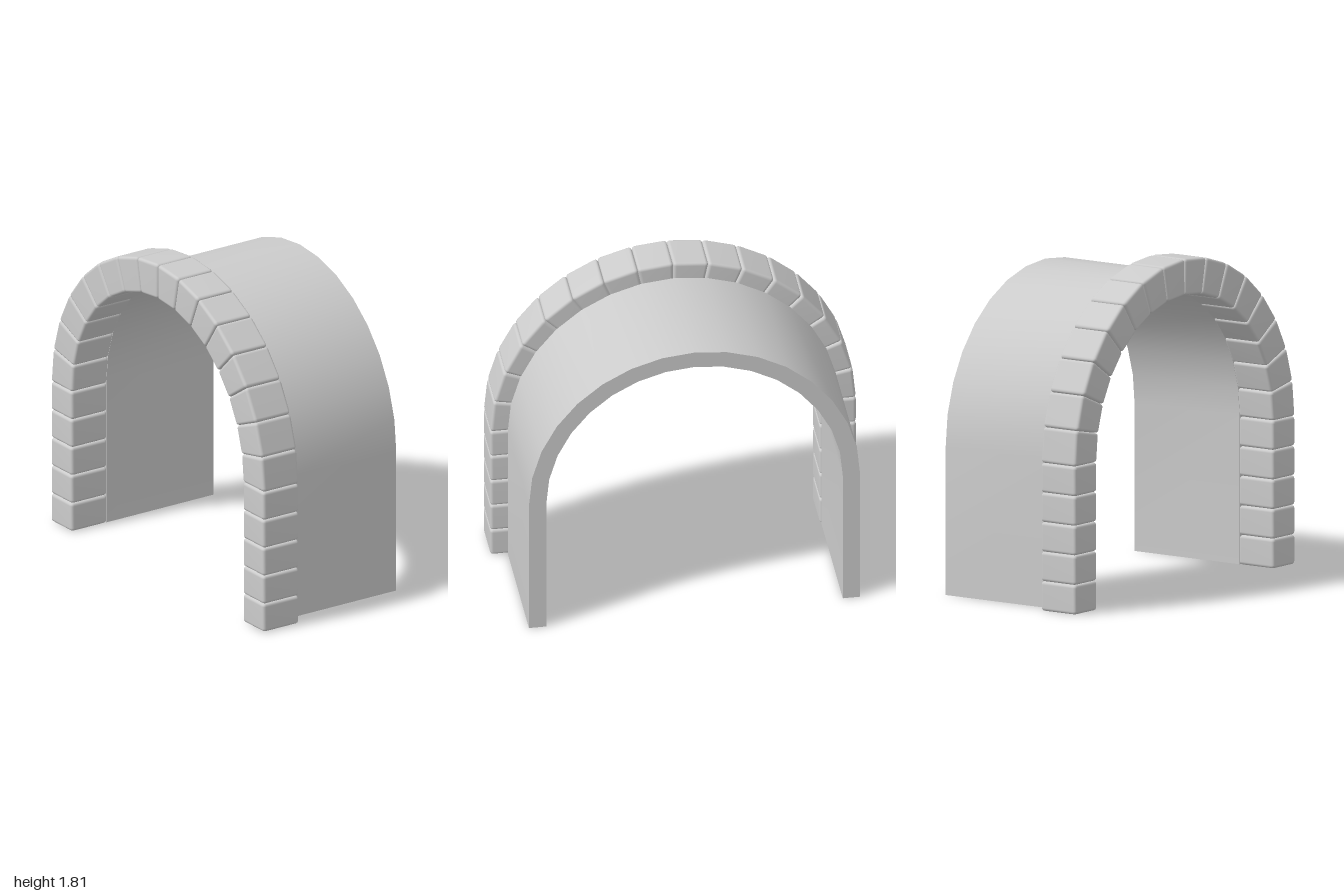
import * as THREE from 'three';
import { mergeVertices, toCreasedNormals } from 'three/addons/utils/BufferGeometryUtils.js';
import { RoundedBoxGeometry } from 'three/addons/geometries/RoundedBoxGeometry.js';

const SPRING = 0.81;            // height where the arch starts
const WEDGES = 16, JAMB = 5;    // stones in the arch and in each jamb
const INNER = 0.8, OUTER = 1;
const STEP = Math.PI / WEDGES;
const FRONT = 0.47, JOINT = 0.235, BACK = -0.47;

const material = new THREE.MeshStandardMaterial({ color: 0xcccccc });

// Rounded stone: x runs along the arch, y points outward; taper(y) scales its length
function stoneGeometry(length, height, taper) {
  const box = new RoundedBoxGeometry(length, height, FRONT - JOINT, 2, 0.018);
  const p = box.attributes.position;
  for (let i = 0; i < p.count; i++) p.setX(i, p.getX(i) * taper(p.getY(i)));
  box.deleteAttribute('normal');
  box.deleteAttribute('uv');
  const geometry = mergeVertices(box, 1e-5);
  geometry.computeVertexNormals();
  return geometry;
}

// Half-round vault on straight walls, extruded along z
function vaultGeometry(inner, outer) {
  const arc = (r) => {
    const pts = [new THREE.Vector2(r, 0)];
    for (let i = 0; i <= WEDGES; i++) {
      pts.push(new THREE.Vector2(r * Math.cos(i * STEP), SPRING + r * Math.sin(i * STEP)));
    }
    pts.push(new THREE.Vector2(-r, 0));
    return pts;
  };
  const shape = new THREE.Shape([...arc(outer), ...arc(inner).reverse()]);
  const geometry = new THREE.ExtrudeGeometry(shape, { depth: JOINT - BACK, bevelEnabled: false });
  geometry.translate(0, 0, BACK);
  return toCreasedNormals(geometry, 0.5);
}

export function createModel() {
  const group = new THREE.Group();
  const add = (name, geometry, x, y, z, turn = 0) => {
    const mesh = new THREE.Mesh(geometry, material);
    mesh.name = name;
    mesh.position.set(x, y, z);
    mesh.rotation.z = turn;
    group.add(mesh);
  };
  const stoneZ = (FRONT + JOINT) / 2;

  add('vault', vaultGeometry(0.81, 0.905), 0, 0, 0);

  // Wedge stones around the arch
  const flat = Math.cos(STEP / 2);
  const mid = flat * (INNER + OUTER) / 2;
  const wedge = stoneGeometry(2 * mid * Math.tan(STEP / 2), flat * (OUTER - INNER), (y) => (mid + y) / mid);
  for (let i = 0; i < WEDGES; i++) {
    const a = (i + 0.5) * STEP;
    add('archStone', wedge, mid * Math.cos(a), SPRING + mid * Math.sin(a), stoneZ, a - Math.PI / 2);
  }

  // Square stones stacked in the two jambs
  const rise = SPRING / JAMB;
  const block = stoneGeometry(rise, OUTER - INNER, () => 1);
  for (const side of [1, -1]) {
    for (let i = 0; i < JAMB; i++) {
      add(side > 0 ? 'leftJambStone' : 'rightJambStone', block,
        side * (INNER + OUTER) / 2, (i + 0.5) * rise, stoneZ, -side * Math.PI / 2);
    }
  }
  return group;
}
